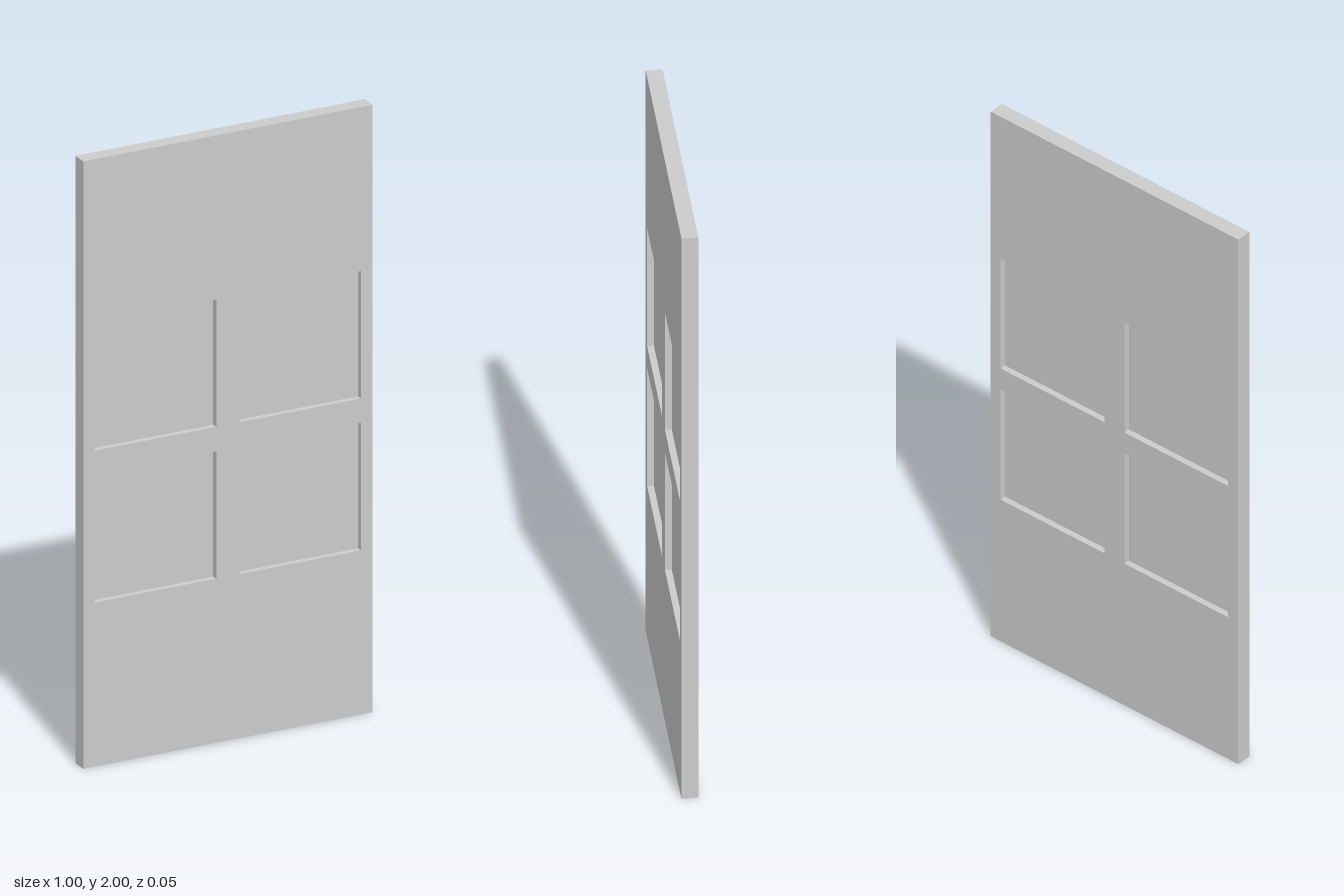
import * as THREE from 'three';

const WIDTH = 1, HEIGHT = 2, THICK = 0.052;
const PANE = 0.42, PANE_THICK = 0.01;
const PANE_X = [-0.25, 0.25], PANE_Y = [0.75, 1.25];

// Axis-aligned rectangle centred on (cx, cy)
function rectangle(path, cx, cy, w, h) {
  path.moveTo(cx - w / 2, cy - h / 2);
  path.lineTo(cx + w / 2, cy - h / 2);
  path.lineTo(cx + w / 2, cy + h / 2);
  path.lineTo(cx - w / 2, cy + h / 2);
  path.closePath();
  return path;
}

export function createModel() {
  const group = new THREE.Group();
  group.name = 'door';
  const material = new THREE.MeshStandardMaterial({ color: 0xcccccc, flatShading: true });

  // Door slab with four square openings, each filled by a thin recessed panel
  const outline = rectangle(new THREE.Shape(), 0, HEIGHT / 2, WIDTH, HEIGHT);
  const paneGeometry = new THREE.BoxGeometry(PANE, PANE, PANE_THICK);
  for (const [row, y] of PANE_Y.entries()) {
    for (const [column, x] of PANE_X.entries()) {
      outline.holes.push(rectangle(new THREE.Path(), x, y, PANE, PANE));
      const pane = new THREE.Mesh(paneGeometry, material);
      pane.name = `${row ? 'upper' : 'lower'}${column ? 'Left' : 'Right'}Panel`;
      pane.position.set(x, y, 0);
      group.add(pane);
    }
  }

  const slabGeometry = new THREE.ExtrudeGeometry(outline, { depth: THICK, bevelEnabled: false });
  slabGeometry.translate(0, 0, -THICK / 2);
  const slab = new THREE.Mesh(slabGeometry, material);
  slab.name = 'doorSlab';
  group.add(slab);

  return group;
}
